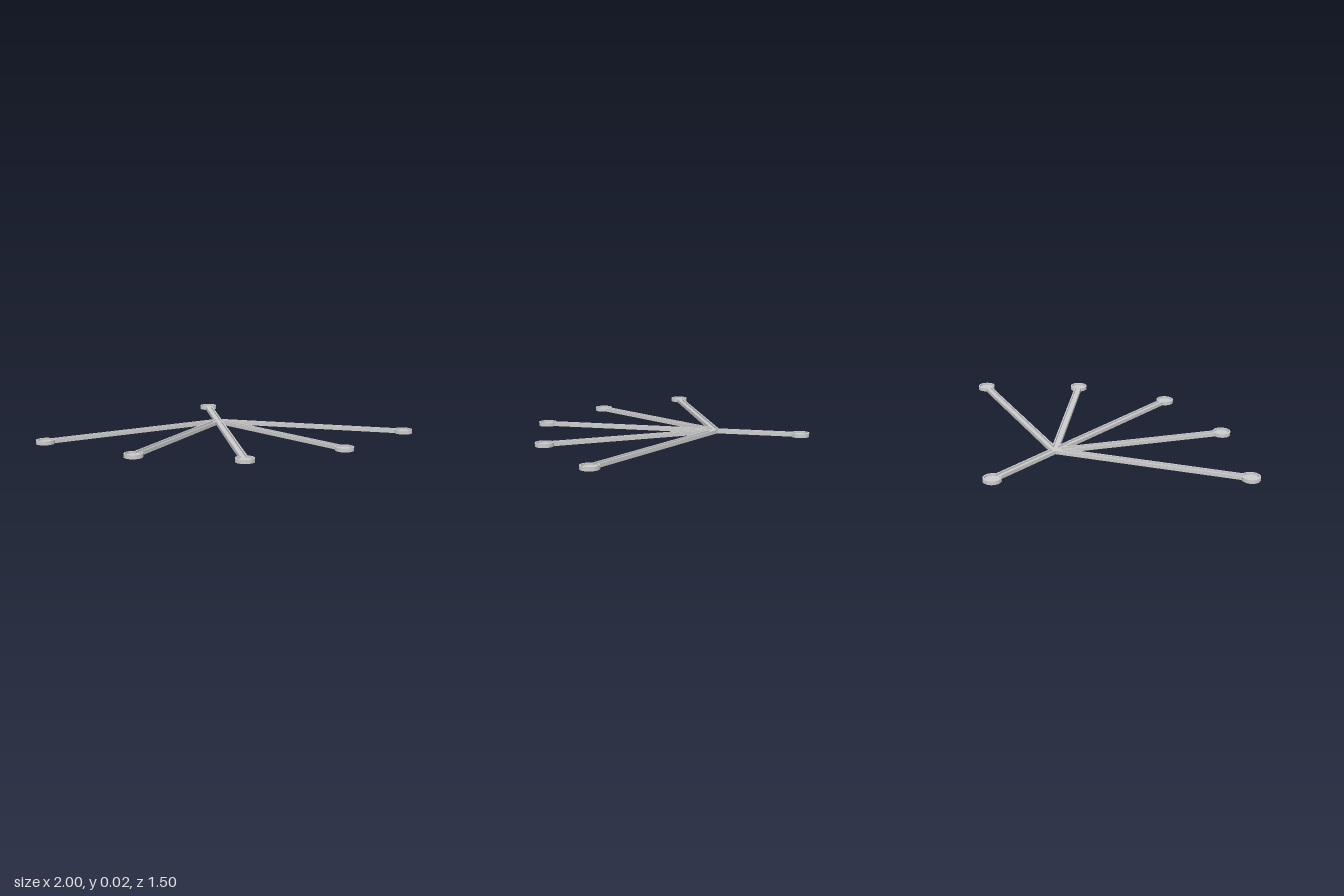
import * as THREE from 'three';
import { toCreasedNormals } from 'three/addons/utils/BufferGeometryUtils.js';

const HEIGHT = 0.02, FLOOR = 0.009, WALL = 0.007;
const HALF_WIDTH = 0.019, PAD_RADIUS = 0.048, PAD_STEPS = 32;
const HUB = { x: 0, z: -0.25 };

// Pad centres in plan (x, z)
const PADS = [[0.952, 0.16], [0, -0.702], [-0.952, 0.16], [-0.52, 0.53], [0, 0.70], [0.53, 0.53]];

// Arms as angle and length, counter-clockwise seen from above
const arms = PADS.map(([x, z]) => ({
  angle: Math.atan2(HUB.z - z, x - HUB.x),
  length: Math.hypot(x - HUB.x, z - HUB.z),
})).sort((a, b) => a.angle - b.angle);

// Closed outline of hub, arms and round pads, pulled in by inset
function outline(inset) {
  const w = HALF_WIDTH - inset, r = PAD_RADIUS - inset;
  const phi = Math.asin(w / r);
  const pts = [];
  const add = (x, y, angle, d) => pts.push(new THREE.Vector2(x + Math.cos(angle) * d, y + Math.sin(angle) * d));
  arms.forEach(({ angle, length }, i) => {
    // inner corner shared with the previous arm
    let gap = angle - arms.at(i - 1).angle;
    if (gap < 0) gap += Math.PI * 2;
    add(HUB.x, -HUB.z, angle - gap / 2, w / Math.sin(gap / 2));
    // arc around the pad
    const cx = HUB.x + Math.cos(angle) * length, cy = -HUB.z + Math.sin(angle) * length;
    for (let k = 0; k <= PAD_STEPS; k++) {
      add(cx, cy, angle - Math.PI + phi + (k / PAD_STEPS) * 2 * (Math.PI - phi), r);
    }
  });
  return pts;
}

function slab(name, shape, y, depth, material) {
  const geo = new THREE.ExtrudeGeometry(shape, { depth, bevelEnabled: false });
  geo.rotateX(-Math.PI / 2).translate(0, y, 0);
  const mesh = new THREE.Mesh(toCreasedNormals(geo, 0.6), material);
  mesh.name = name;
  return mesh;
}

export function createModel() {
  const model = new THREE.Group();
  model.name = 'branchingTray';
  const material = new THREE.MeshStandardMaterial({ color: 0xcccccc });

  // Flat base under hub, arms and pads
  model.add(slab('trayFloor', new THREE.Shape(outline(0)), 0, FLOOR, material));

  // Raised rim following the whole edge
  const rim = new THREE.Shape(outline(0));
  rim.holes.push(new THREE.Path(outline(WALL)));
  model.add(slab('trayRim', rim, FLOOR, HEIGHT - FLOOR, material));

  return model;
}
